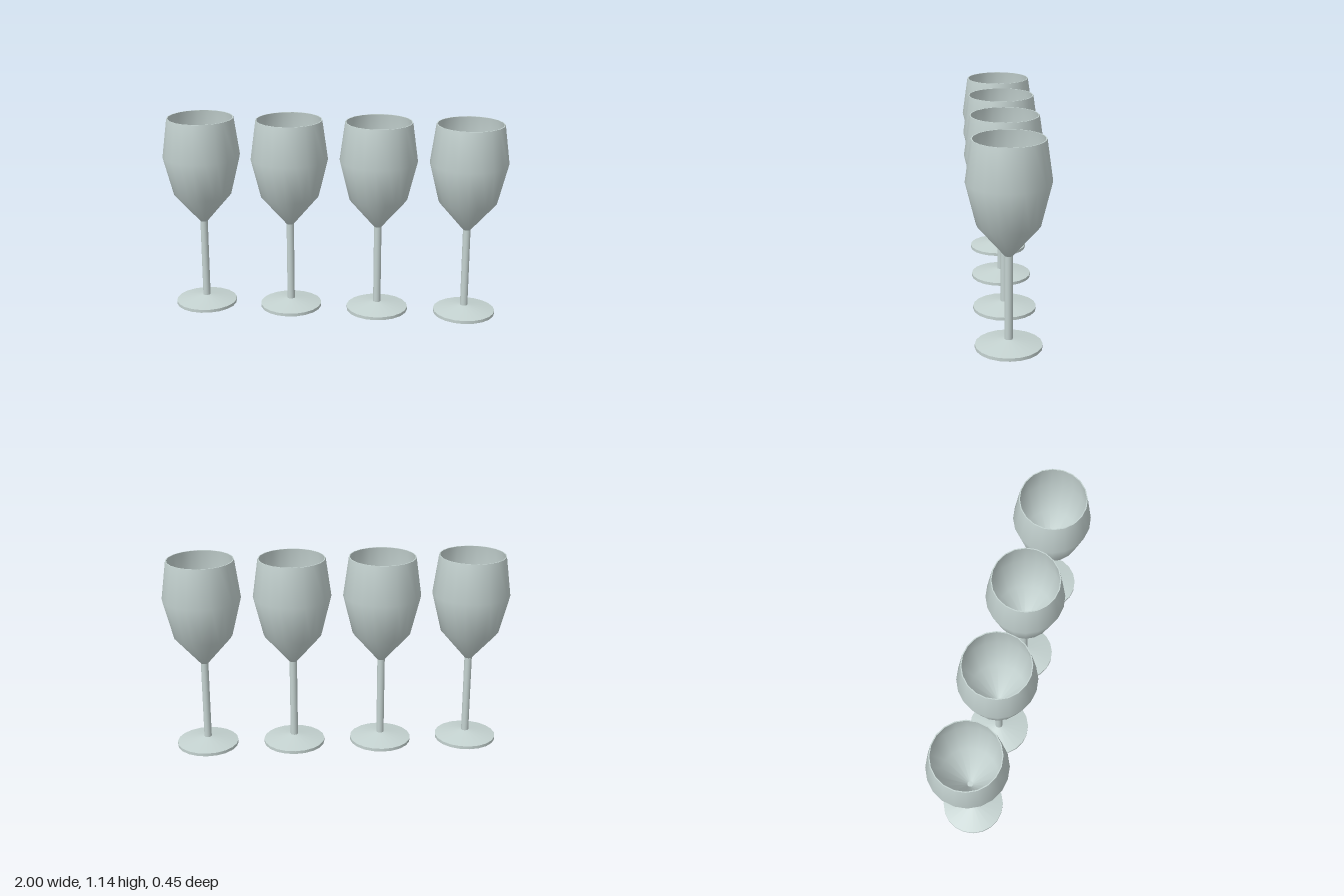
import * as THREE from 'three';

const SEGMENTS = 20;

// Revolve a list of [radius, height] points around the y axis
function lathe(name, profile, material) {
  const points = profile.map(([r, y]) => new THREE.Vector2(r, y));
  const mesh = new THREE.Mesh(new THREE.LatheGeometry(points, SEGMENTS), material);
  mesh.name = name;
  return mesh;
}

function createGlass(material) {
  const glass = new THREE.Group();

  // Foot: flat underside, thin edge, shallow cone
  glass.add(lathe('footUnderside', [[0, 0], [0.181, 0]], material));
  glass.add(lathe('footEdge', [[0.181, 0], [0.181, 0.018]], material));
  glass.add(lathe('footTop', [[0.181, 0.018], [0.022, 0.048]], material));

  // Slim straight stem
  glass.add(lathe('stem', [[0.022, 0.048], [0.022, 0.518]], material));

  // Bowl: outer wall, rim and inner wall
  glass.add(lathe('bowlOutside',
    [[0.022, 0.518], [0.169, 0.69], [0.225, 0.918], [0.193, 1.144]], material));
  glass.add(lathe('rim', [[0.193, 1.144], [0.187, 1.144]], material));
  glass.add(lathe('bowlInside',
    [[0.187, 1.144], [0.218, 0.918], [0.163, 0.693], [0.016, 0.524]], material));
  glass.add(lathe('bowlBottom', [[0.016, 0.524], [0, 0.524]], material));
  return glass;
}

export function createModel() {
  const model = new THREE.Group();
  model.name = 'wineGlasses';
  const material = new THREE.MeshStandardMaterial({ color: 0xc4d2d0 });
  material.name = 'paleGlass';

  // Four glasses in a row
  for (let i = 0; i < 4; i++) {
    const glass = createGlass(material);
    glass.name = `wineGlass${i + 1}`;
    glass.position.x = (i - 1.5) * 0.5167;
    model.add(glass);
  }
  return model;
}
